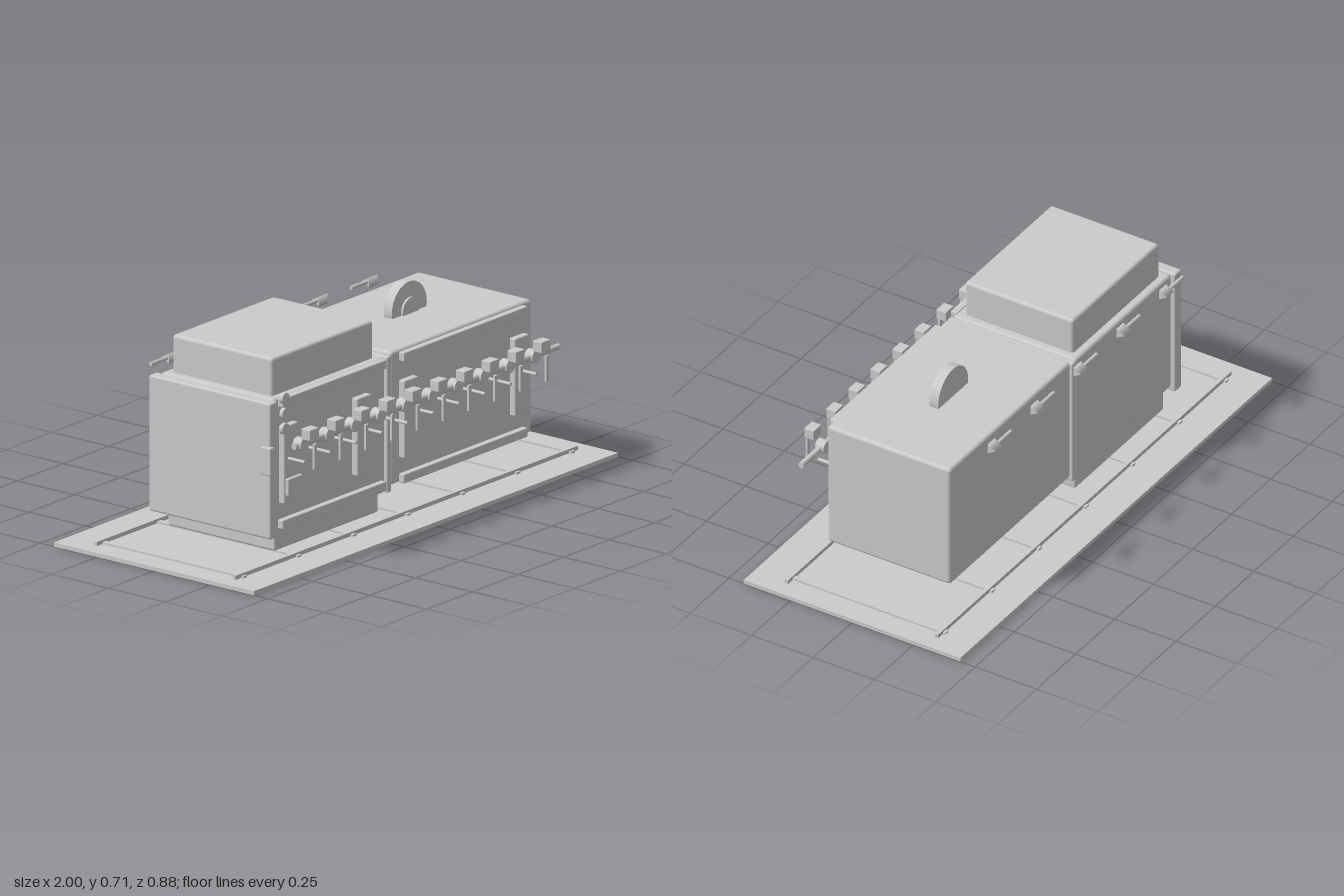
import * as THREE from 'three';
import { RoundedBoxGeometry } from 'three/addons/geometries/RoundedBoxGeometry.js';

const grey = new THREE.MeshStandardMaterial({ color: 0xcccccc });

export function createModel() {
  const model = new THREE.Group();

  const add = (name, geometry, x, y, z, parent = model) => {
    const mesh = new THREE.Mesh(geometry, grey);
    mesh.name = name;
    mesh.position.set(x, y, z);
    parent.add(mesh);
    return mesh;
  };
  // Box given by its limits on each axis; r > 0 rounds its edges
  const box = (name, [x0, x1], [y0, y1], [z0, z1], r = 0, parent = model) => {
    const size = [x1 - x0, y1 - y0, z1 - z0];
    const geometry = r ? new RoundedBoxGeometry(...size, 3, r) : new THREE.BoxGeometry(...size);
    return add(name, geometry, (x0 + x1) / 2, (y0 + y1) / 2, (z0 + z1) / 2, parent);
  };
  // Cylinder along x, y or z
  const rod = (name, axis, r, length, x, y, z, parent = model, sides = 24) => {
    const geometry = new THREE.CylinderGeometry(r, r, length, sides);
    if (axis === 'x') geometry.rotateZ(-Math.PI / 2);
    if (axis === 'z') geometry.rotateX(Math.PI / 2);
    return add(name, geometry, x, y, z, parent);
  };

  // Floor slab with a ladder of rails and ties
  box('floor', [-1, 1], [0, 0.015], [-0.44, 0.44]);
  for (const z of [-0.305, 0.305]) box('floorRail', [-0.94, 0.94], [0.015, 0.03], [z - 0.007, z + 0.007]);
  for (let i = 0; i < 7; i++) {
    const x = -0.9 + i * 0.3;
    box('floorTie', [x - 0.01, x + 0.01], [0.015, 0.022], [-0.322, 0.322]);
  }

  // Main chambers, cooling chamber and quench tank
  box('heatingChamber', [-0.01, 0.765], [0.11, 0.59], [-0.25, 0.25], 0.013);
  box('quenchChamber', [-0.655, -0.04], [0.11, 0.58], [-0.25, 0.25], 0.013);
  box('coolingChamber', [-0.625, -0.07], [0.57, 0.715], [-0.22, 0.22], 0.012);
  box('quenchTank', [-0.63, -0.06], [0.025, 0.12], [-0.235, 0.235], 0.008);

  // End door, its handle and the door between the chambers
  box('endDoor', [-0.7, -0.657], [0.09, 0.58], [-0.263, 0.272], 0.008);
  box('doorHandle', [-0.715, -0.69], [0.325, 0.425], [0.24, 0.284], 0.004);
  box('middleDoor', [-0.036, -0.012], [0.09, 0.58], [-0.255, 0.255], 0.006);

  // Front trim: a beam at top and bottom and two side panels per chamber
  for (const [x0, x1] of [[-0.625, -0.145], [0.035, 0.72]]) {
    for (const x of [x0, x1 - 0.078]) box('sidePanel', [x, x + 0.078], [0.2, 0.48], [0.245, 0.274], 0.005);
  }
  for (const [x0, x1] of [[-0.63, -0.06], [0.035, 0.715]]) {
    for (const y of [0.11, 0.548]) box('frontBeam', [x0, x1], [y, y + 0.033], [0.245, 0.272], 0.004);
  }

  // Drive box under the joint, on small feet
  box('driveBox', [-0.035, 0.165], [0.04, 0.103], [-0.102, 0.102], 0.006);
  for (const x of [0, 0.13]) {
    for (const z of [-0.083, 0.083]) box('driveFoot', [x - 0.012, x + 0.012], [0.015, 0.045], [z - 0.006, z + 0.006]);
  }

  // Roof fan wheel, half sunk in the roof
  const fan = new THREE.Group();
  fan.name = 'roofFan';
  rod('fanWheel', 'z', 0.096, 0.036, 0.38, 0.607, 0, fan, 32);
  rod('fanHub', 'z', 0.045, 0.01, 0.38, 0.602, 0.021, fan);
  model.add(fan);

  // Gas manifold with ten valves
  const manifold = new THREE.Group();
  manifold.name = 'gasManifold';
  model.add(manifold);
  rod('manifoldPipe', 'x', 0.011, 1.45, 0.085, 0.423, 0.328, manifold);
  for (let i = 0; i < 10; i++) {
    const x = -0.602 + i * 0.1413;
    rod('valveBody', 'z', 0.024, 0.035, x, 0.424, 0.328, manifold, 16);
    box('valveActuator', [x - 0.025, x + 0.025], [0.45, 0.49], [0.349, 0.388], 0.003, manifold);
    box('valveLever', [x - 0.007, x + 0.007], [0.345, 0.437], [0.385, 0.394], 0, manifold);
    rod('gasOutlet', 'z', 0.006, 0.095, x, 0.361, 0.298, manifold, 12);
  }

  // Control box and signal lamps at the front corner
  box('controlBox', [-0.64, -0.56], [0.238, 0.3], [0.288, 0.304], 0.004);
  for (const y of [0.48, 0.535, 0.59]) rod('signalLamp', 'z', 0.02, 0.014, -0.64, y, 0.286);

  // Row of flow markers behind: a shaft ending in a three-sided head
  for (let i = 0; i < 5; i++) {
    const marker = new THREE.Group();
    marker.name = 'flowMarker';
    marker.position.set(-0.53 + i * 0.275, 0.595, -0.303);
    rod('markerShaft', 'x', 0.007, 0.1, -0.06, 0, 0, marker, 12);
    const head = new THREE.CylinderGeometry(0.021, 0.021, 0.045, 3).rotateY(Math.PI).rotateZ(-Math.PI / 2);
    add('markerHead', head, 0, 0, 0, marker);
    model.add(marker);
  }

  return model;
}
